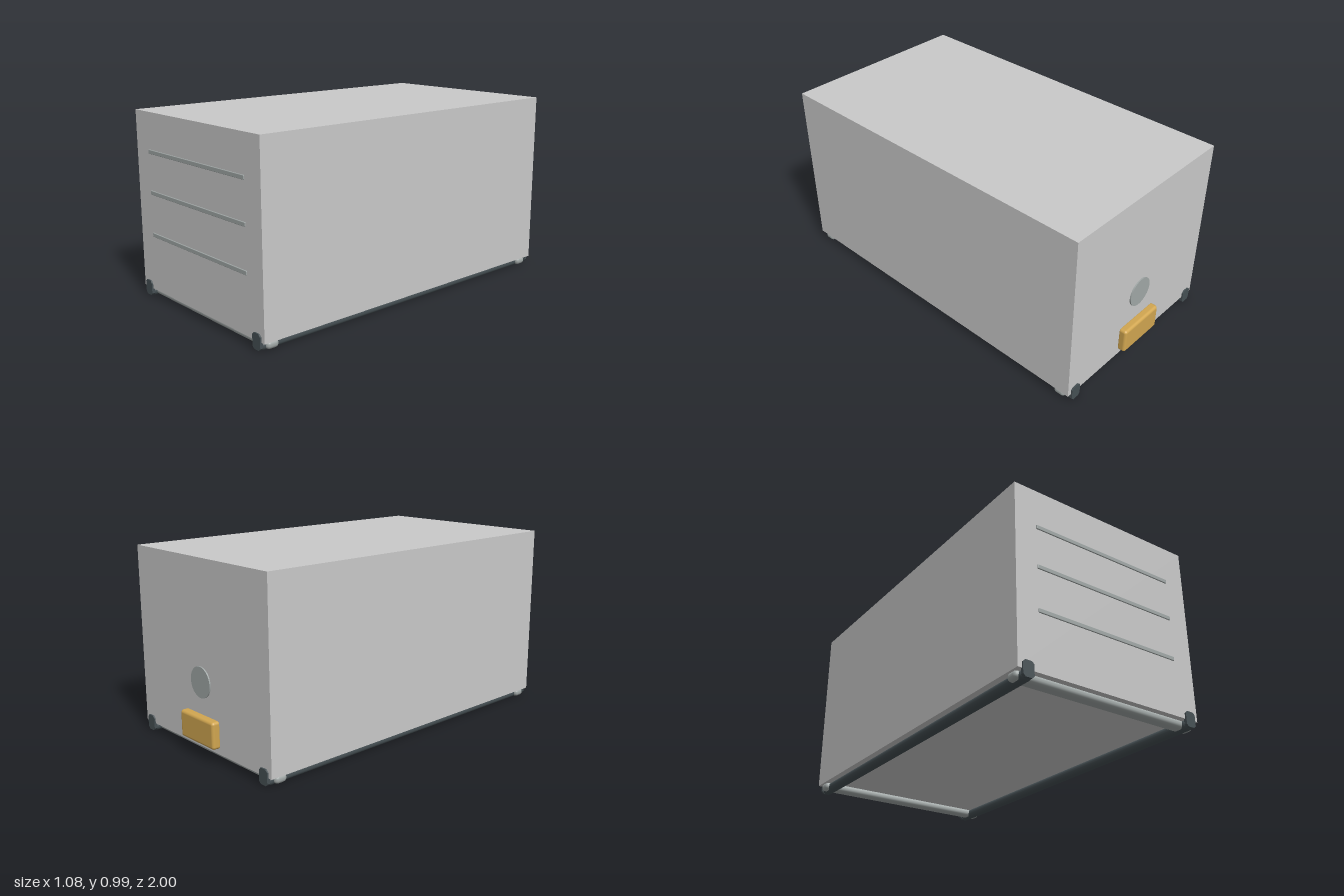
import * as THREE from 'three';
import { RoundedBoxGeometry } from 'three/addons/geometries/RoundedBoxGeometry.js';

const material = (name, color) => {
  const m = new THREE.MeshStandardMaterial({ color });
  m.name = name;
  return m;
};

export function createModel() {
  const group = new THREE.Group();
  const shellGrey = material('shellGrey', 0xc9c9c9);
  const trimGrey = material('trimGrey', 0xa1a8a7);
  const darkSteel = material('darkSteel', 0x465054);
  const amber = material('amber', 0xd1a650);

  const add = (name, geometry, mat, x, y, z) => {
    const mesh = new THREE.Mesh(geometry, mat);
    mesh.name = name;
    mesh.position.set(x, y, z);
    group.add(mesh);
    return mesh;
  };

  const front = 0.992, back = -0.96;
  const midZ = (front + back) / 2;

  // Main box
  add('body', new THREE.BoxGeometry(1.076, 0.949, front - back), shellGrey, 0, 0.5195, midZ);

  // Three slots across the front
  for (const y of [0.79, 0.576, 0.35]) {
    add('frontSlot', new RoundedBoxGeometry(0.835, 0.022, 0.01, 2, 0.003), trimGrey, 0, y, front);
  }

  // Round cover and handle on the back
  const cover = add('backCover', new THREE.CylinderGeometry(0.08, 0.08, 0.014, 40), trimGrey, 0, 0.38, back);
  cover.rotation.x = Math.PI / 2;
  add('handle', new RoundedBoxGeometry(0.28, 0.14, 0.05, 4, 0.015), amber, 0, 0.145, -0.975);

  // Light cross rails under both ends
  for (const z of [0.935, -0.895]) {
    add('crossRail', new RoundedBoxGeometry(1.066, 0.043, 0.068, 4, 0.02), trimGrey, 0, 0.0265, z);
  }

  // Upturned hook plate with chamfered top corners
  const w = 0.03, h = 0.08, c = 0.012;
  const hookShape = new THREE.Shape([
    [-w + c, 0], [w - c, 0], [w, c], [w, h - c], [w - c, h],
    [-w + c, h], [-w, h - c], [-w, c],
  ].map(([x, y]) => new THREE.Vector2(x, y)));
  const hook = new THREE.ExtrudeGeometry(hookShape, { depth: 0.016, bevelEnabled: false });

  // Dark runners along both sides, hooked up at each end
  for (const side of [-1, 1]) {
    const x = side * 0.485;
    add('sideRunner', new RoundedBoxGeometry(0.06, 0.047, front - back, 4, 0.022), darkSteel, x, 0.0235, midZ);
    add('frontHook', hook, darkSteel, x, 0.005, 0.984);
    add('backHook', hook, darkSteel, x, 0.005, -0.968);
  }

  return group;
}
